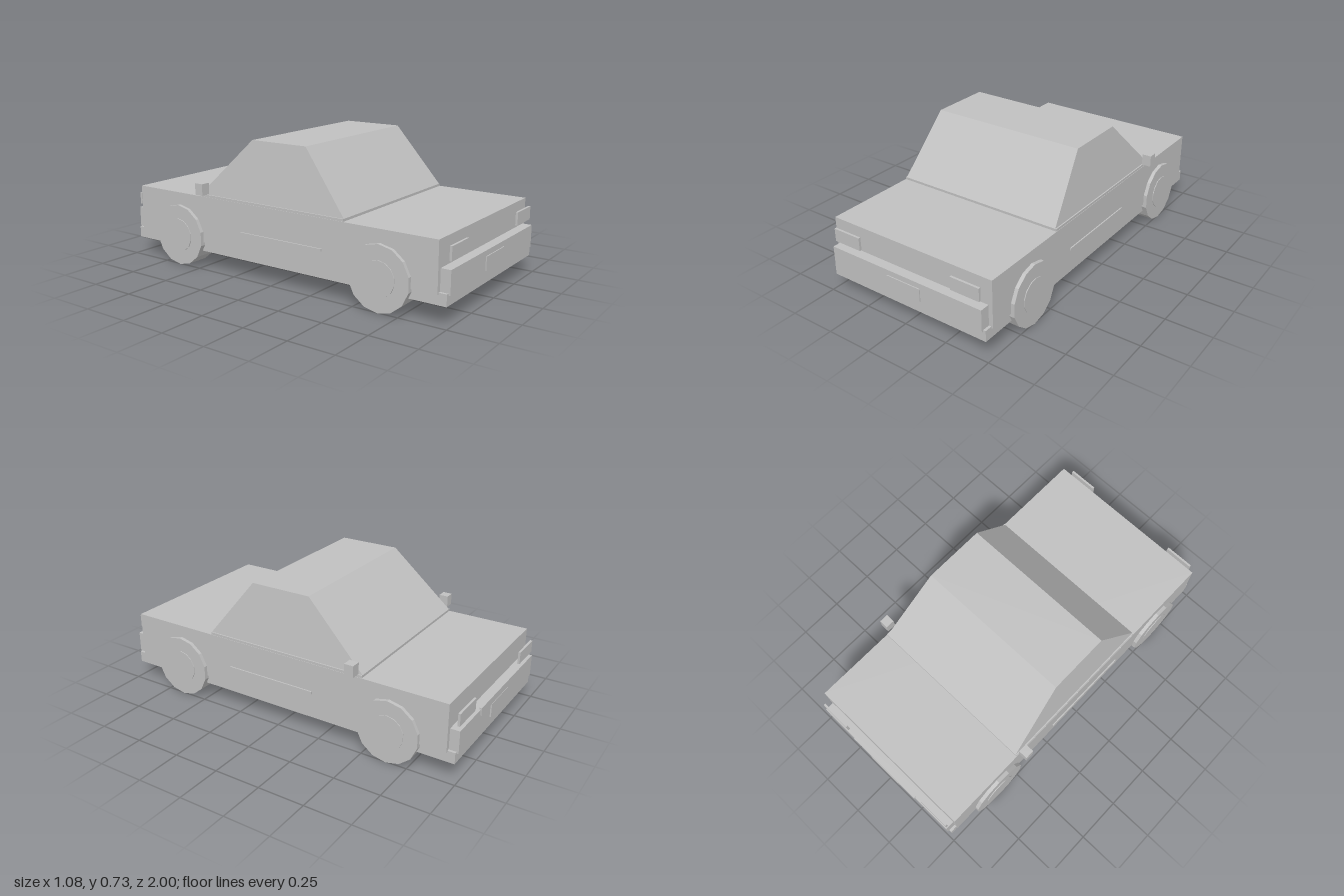
import * as THREE from 'three';

export function createModel() {
  const car = new THREE.Group();
  car.name = 'car';
  const grey = new THREE.MeshStandardMaterial({ color: 0xc0c0c0 });
  grey.name = 'plain grey';

  const add = (name, geometry) => {
    const mesh = new THREE.Mesh(geometry, grey);
    mesh.name = name;
    car.add(mesh);
    return mesh;
  };
  // box given by its limits on each axis
  const box = (name, x0, x1, y0, y1, z0, z1) => {
    const mesh = add(name, new THREE.BoxGeometry(x1 - x0, y1 - y0, z1 - z0));
    mesh.position.set((x0 + x1) / 2, (y0 + y1) / 2, (z0 + z1) / 2);
    return mesh;
  };

  // body and chassis
  box('body', -0.486, 0.486, 0.147, 0.403, -0.943, 0.943);
  box('chassis', -0.477, 0.477, 0.096, 0.156, -0.983, 0.985);
  box('cabinBase', -0.484, 0.484, 0.403, 0.416, -0.488, 0.434);

  // cabin: a box tapered towards the roof
  const cabin = new THREE.BoxGeometry(2, 1, 2);
  const p = cabin.attributes.position;
  for (let i = 0; i < p.count; i++) {
    const top = p.getY(i) > 0;
    const front = p.getZ(i) > 0;
    p.setXYZ(i,
      Math.sign(p.getX(i)) * (top ? 0.436 : 0.477),
      top ? 0.731 : 0.416,
      top ? (front ? 0.18 : -0.157) : (front ? 0.434 : -0.488));
  }
  cabin.computeVertexNormals();
  add('cabin', cabin);

  // bumpers, number plates and grille
  box('frontBumper', -0.463, 0.463, 0.147, 0.267, 0.94, 0.995);
  box('rearBumper', -0.463, 0.463, 0.147, 0.267, -0.993, -0.94);
  box('frontPlate', -0.103, 0.103, 0.166, 0.238, 0.993, 1.0);
  box('rearPlate', -0.103, 0.103, 0.166, 0.238, -1.0, -0.992);
  box('grille', -0.23, 0.23, 0.235, 0.276, -0.998, -0.985);

  // paired parts
  for (const s of [-1, 1]) {
    const pair = (name, x0, x1, ...rest) =>
      box(name, Math.min(s * x0, s * x1), Math.max(s * x0, s * x1), ...rest);
    pair('frontLight', 0.283, 0.447, 0.301, 0.371, 0.976, 0.988);
    pair('rearLight', 0.283, 0.46, 0.288, 0.354, -0.988, -0.976);
    pair('mirror', 0.487, 0.538, 0.423, 0.485, -0.472, -0.422);
    pair('sideTrim', 0.48, 0.493, 0.237, 0.25, -0.205, 0.31);

    // wheels with hubcaps
    for (const z of [0.643, -0.64]) {
      const wheelShape = new THREE.CylinderGeometry(0.168, 0.168, 0.121, 14).toNonIndexed();
      wheelShape.computeVertexNormals();
      const hubShape = new THREE.CylinderGeometry(0.092, 0.092, 0.008, 14).toNonIndexed();
      hubShape.computeVertexNormals();
      const wheel = add('wheel', wheelShape);
      const hub = add('hubcap', hubShape);
      wheel.position.set(s * 0.4455, 0.168, z);
      hub.position.set(s * 0.506, 0.168, z);
      // turn the axle sideways with a corner at the bottom
      for (const m of [wheel, hub]) m.rotation.set(Math.PI / 2, 0, Math.PI / 2);
    }
  }
  return car;
}
